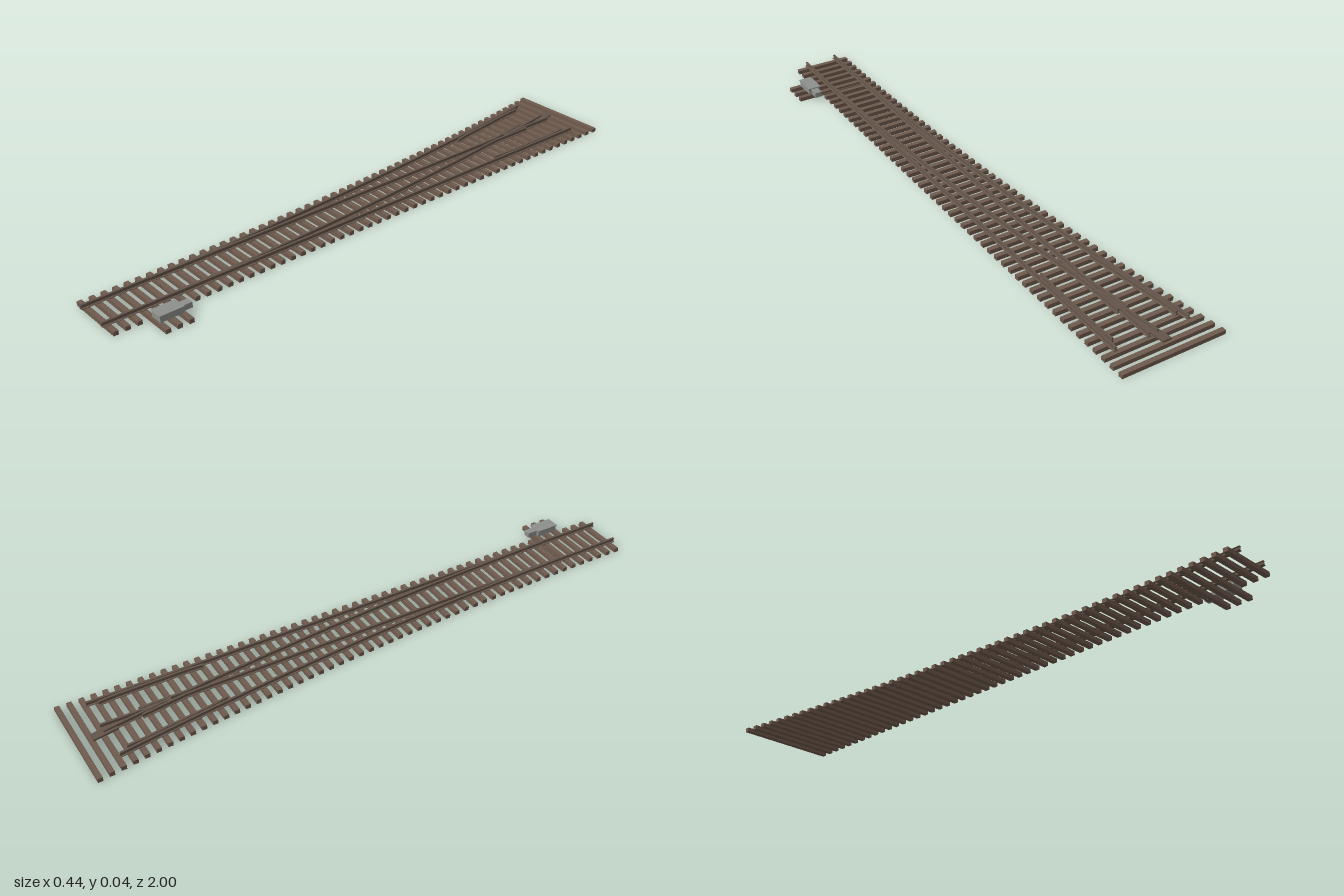
import * as THREE from 'three';

export function createModel() {
  const root = new THREE.Group();
  const mat = (name, color) => {
    const m = new THREE.MeshStandardMaterial({ color });
    m.name = name;
    return m;
  };
  const wood = mat('sleeper brown', 0x705b4e);
  const steel = mat('rusty rail', 0x64554a);
  const grey = mat('machine grey', 0x8d908c);

  const add = (parent, name, geo, material) => {
    const m = new THREE.Mesh(geo, material);
    m.name = name;
    parent.add(m);
    return m;
  };
  const box = (parent, name, material, x0, x1, y0, y1, z0, z1) => {
    const g = new THREE.BoxGeometry(x1 - x0, y1 - y0, z1 - z0);
    g.translate((x0 + x1) / 2, (y0 + y1) / 2, (z0 + z1) / 2);
    return add(parent, name, g, material);
  };

  // Track layout: sideways shift of the diverging route at a given z
  const XL = -0.0225, XR = 0.091, TOP = 0.0138;
  const shift = z => 0.04 * Math.max(0, 0.97 - z) ** 2;
  const straightL = () => XL;
  const straightR = () => XR;
  const curveL = z => XL - shift(z);
  const curveR = z => XR - shift(z);

  // Sleepers, widening with the diverging route; three carry the machine
  const sleepers = new THREE.Group();
  sleepers.name = 'sleepers';
  root.add(sleepers);
  const sleeperZ = [];
  for (let i = 0; i < 53; i++) {
    const z = -0.992 + i * 0.0379;
    sleeperZ.push(z);
    const right = i >= 47 && i <= 49 ? 0.218 : 0.134;
    box(sleepers, 'sleeper', wood, -0.065 - shift(z), right, 0, TOP, z - 0.008, z + 0.008);
  }

  // Rail section (foot, web, head) is extruded along z, then bent sideways by the path rule
  const polygon = pts => new THREE.Shape(pts.map(p => new THREE.Vector2(...p)));
  const half = [
    [0.0065, 0], [0.0065, 0.0012], [0.0014, 0.003], [0.0014, 0.0108],
    [0.004, 0.0116], [0.004, 0.0138], [0.0033, 0.0145],
  ];
  const section = polygon([...half, ...half.map(([x, y]) => [-x, y]).reverse()]);
  const bend = (shape, path, z0, z1) => {
    const g = new THREE.ExtrudeGeometry(shape, { depth: z1 - z0, steps: 32, bevelEnabled: false });
    g.translate(0, TOP, z0);
    const p = g.attributes.position;
    for (let i = 0; i < p.count; i++) p.setX(i, p.getX(i) + path(p.getZ(i)));
    g.computeVertexNormals();
    return g;
  };
  const rail = (name, path, z0, z1) => add(root, name, bend(section, path, z0, z1), steel);

  // Stock rails
  rail('rightStockRail', straightR, -0.915, 0.998);
  rail('leftStockRail', curveL, -0.91, 0.998);

  // Switch blades and closure rails, bending into wing rails at the frog
  const knuckle = -0.62, gap = 0.0105;
  rail('straightClosureRail', z => (z > knuckle ? XL : curveR(z) - gap), -0.79, 0.77);
  rail('curvedClosureRail', z => (z > knuckle ? curveR(z) : XL + gap), -0.79, 0.77);

  // Frog vee and its seat plate
  rail('straightFrogRail', straightL, -0.915, -0.69);
  rail('curvedFrogRail', curveR, -0.915, -0.69);
  const seat = polygon([[-0.011, 0], [0.018, 0], [0.018, 0.006], [-0.011, 0.006]]);
  add(root, 'frogSeat', bend(seat, curveR, -0.953, -0.87), steel);

  // Guard rails with flared ends
  const flare = z => 0.0105 + 0.004 * Math.max(0, Math.abs(z + 0.71) / 0.17 - 0.7) / 0.3;
  rail('rightGuardRail', z => XR - flare(z), -0.88, -0.54);
  rail('leftGuardRail', z => curveL(z) + flare(z), -0.88, -0.54);

  // Tie plates under the rails
  const plates = new THREE.Group();
  plates.name = 'tiePlates';
  root.add(plates);
  for (const z of sleeperZ) {
    if (z < -0.91) continue;
    for (const path of [straightL, straightR, curveL, curveR]) {
      if (z > 0.7 && (path === curveR || path === straightL)) continue;
      const x = path(z);
      box(plates, 'tiePlate', steel, x - 0.009, x + 0.009, TOP - 0.001, TOP + 0.0008, z - 0.006, z + 0.006);
    }
  }

  // Throw rod from the blades to the machine
  box(root, 'throwRod', steel, -0.024, 0.16, 0.0125, 0.0155, 0.761, 0.766);

  // Switch machine
  const machine = new THREE.Group();
  machine.name = 'switchMachine';
  root.add(machine);
  box(machine, 'machineBody', grey, 0.137, 0.179, TOP, 0.0345, 0.79, 0.866);
  box(machine, 'machineLid', grey, 0.1345, 0.1815, 0.0345, 0.0365, 0.787, 0.869);
  box(machine, 'machineGearbox', grey, 0.147, 0.171, TOP, 0.032, 0.755, 0.79);

  return root;
}
